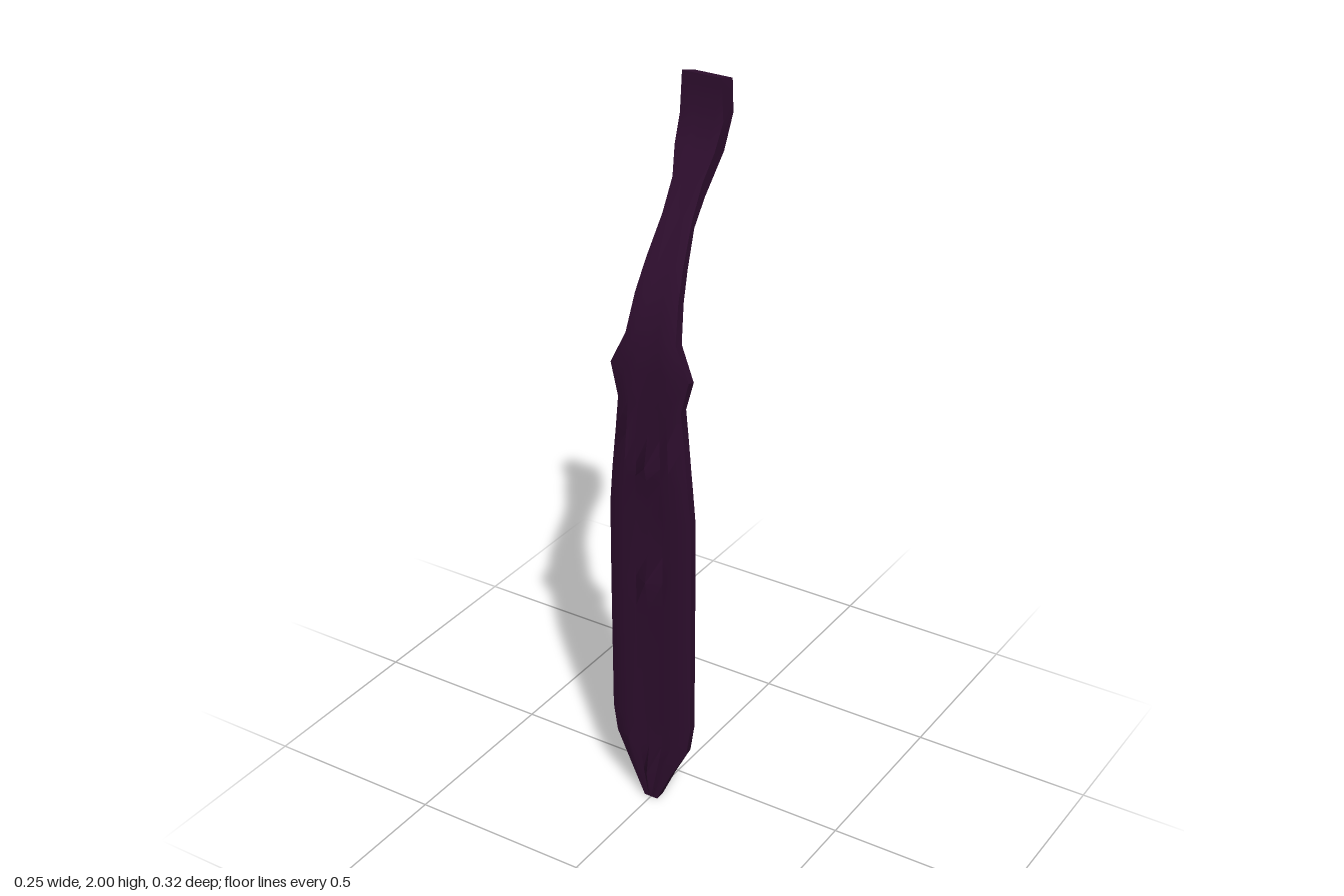
import * as THREE from 'three';
import { toCreasedNormals } from 'three/addons/utils/BufferGeometryUtils.js';

// Rows from tip to collar: half width, front y, front z, back y, back z, fold depth, centre bump
const rows = [
  [0.02, 0, 0.139, 0, 0.108, 0, 0],
  [0.062, 0.09, 0.145, 0.09, 0.106, 0.5, 0.015],
  [0.11, 0.18, 0.145, 0.18, 0.106, 1, 0],
  [0.122, 0.26, 0.145, 0.26, 0.105, 1, 0],
  [0.123, 0.61, 0.145, 0.61, 0.105, 1, 0],
  [0.123, 0.7, 0.145, 0.7, 0.105, 1, 0.015],
  [0.123, 0.78, 0.145, 0.78, 0.105, 1, 0],
  [0.122, 0.9, 0.145, 0.9, 0.105, 1, 0],
  [0.113, 1.0, 0.147, 1.0, 0.105, 1, 0.004],
  [0.109, 1.04, 0.147, 1.04, 0.105, 1, 0.013],
  [0.102, 1.12, 0.145, 1.12, 0.105, 1, 0],
  [0.093, 1.21, 0.144, 1.21, 0.105, 0.8, 0],
  [0.115, 1.3, 0.14, 1.29, 0.104, 0.6, 0],
  [0.073, 1.39, 0.133, 1.38, 0.095, 0.5, 0],
  [0.063, 1.49, 0.103, 1.48, 0.071, 0.4, 0],
  [0.054, 1.57, 0.065, 1.555, 0.039, 0.3, 0],
  [0.043, 1.67, 0.006, 1.645, -0.008, 0.2, 0],
  [0.043, 1.75, -0.04, 1.71, -0.057, 0.2, 0],
  [0.057, 1.82, -0.073, 1.81, -0.122, 0.1, 0],
  [0.062, 1.89, -0.106, 1.9, -0.156, 0, 0],
  [0.056, 2, -0.106, 1.985, -0.16, 0, 0],
];

// Folded front section: fraction of half width, z offset
const folds = [[-1, -0.012], [-0.6, 0.003], [-0.33, -0.005], [0, 0], [0.33, -0.005], [0.6, 0.003], [1, -0.012]];
const backFractions = [0.97, 0, -0.97];

function loftTie() {
  const positions = [], index = [];
  const n = folds.length + backFractions.length;
  for (const [w, fy, fz, by, bz, depth, bump] of rows) {
    for (const [f, dz] of folds) positions.push(f * w, fy, fz + dz * depth + (f === 0 ? bump : 0));
    for (const f of backFractions) positions.push(f * w, by, bz);
  }
  for (let r = 0; r < rows.length - 1; r++) {
    for (let j = 0; j < n; j++) {
      const a = r * n + j, b = r * n + (j + 1) % n;
      index.push(a, b, b + n, a, b + n, a + n);
    }
  }
  // End caps, fanned from the middle of the back
  const hub = folds.length + 1, top = (rows.length - 1) * n;
  for (let k = 1; k < n - 1; k++) {
    const a = (hub + k) % n, b = (hub + k + 1) % n;
    index.push(hub, b, a, top + hub, top + a, top + b);
  }
  const geometry = new THREE.BufferGeometry();
  geometry.setAttribute('position', new THREE.Float32BufferAttribute(positions, 3));
  geometry.setIndex(index);
  return toCreasedNormals(geometry, 0.6);
}

export function createModel() {
  const group = new THREE.Group();
  group.name = 'necktie';
  const darkPlum = new THREE.MeshStandardMaterial({ color: 0x2e0e2e });
  darkPlum.name = 'dark plum cloth';

  // One continuous strip: pointed blade, knot and curved collar end
  const tie = new THREE.Mesh(loftTie(), darkPlum);
  tie.name = 'tieCloth';
  group.add(tie);
  return group;
}
